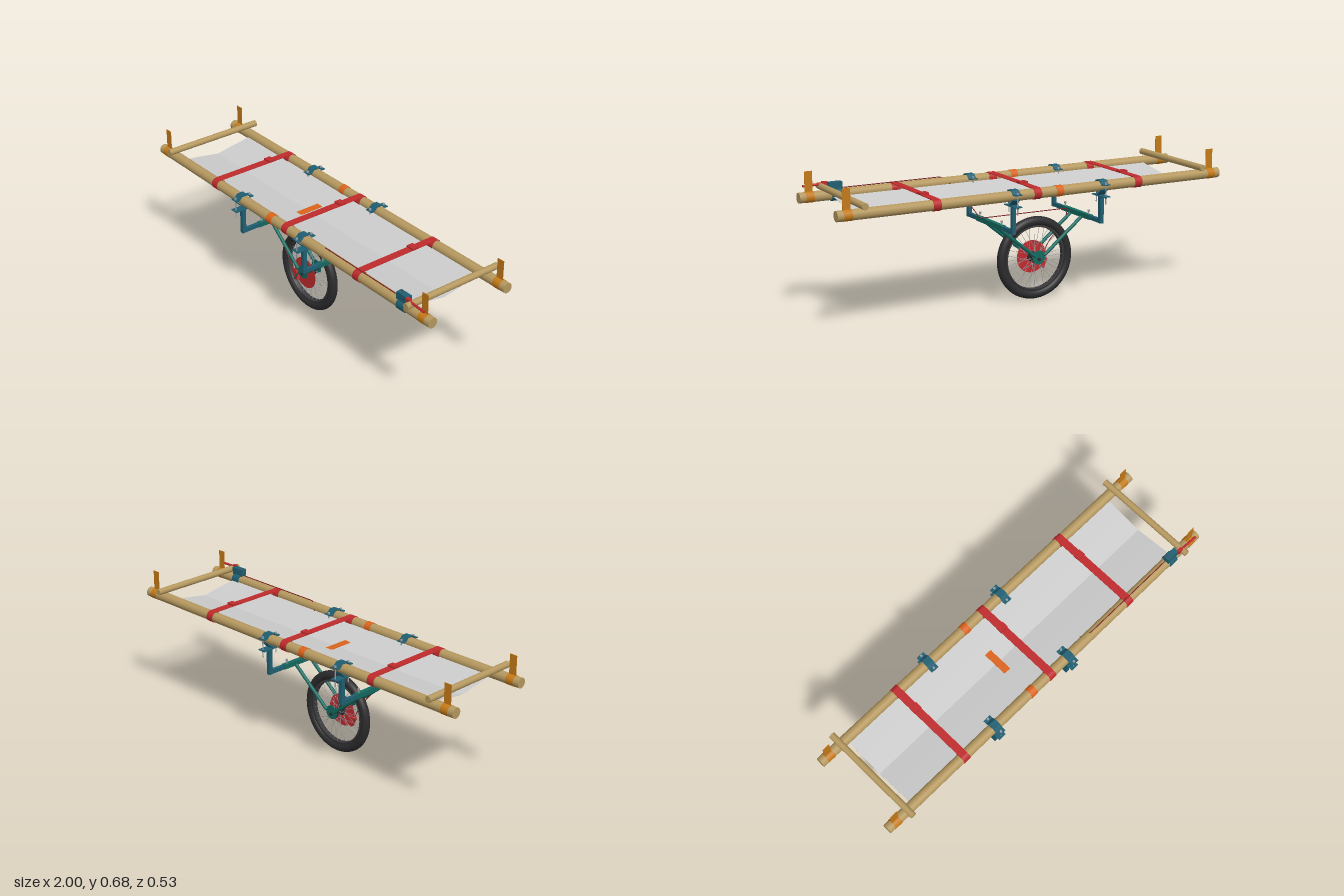
import * as THREE from 'three';

const mat = (color, side = THREE.FrontSide) => new THREE.MeshStandardMaterial({ color, side });
const WOOD = mat(0xb5985f), RED = mat(0xbf2a2c), ORANGE = mat(0xdb641c), AMBER = mat(0xc47a18);
const BLUE = mat(0x1f5f72), GREEN = mat(0x14695f), STEEL = mat(0x9a9ca4), BLACK = mat(0x2b2b2d);
const CANVAS = mat(0xcccccc, THREE.DoubleSide), CABLE = mat(0x7a1f24), DARK = mat(0x3a3a3c);
const V = (x, y, z) => new THREE.Vector3(x, y, z);
const POLE_Y = 0.567, POLE_Z = 0.215, POLE_R = 0.0245;
const WHEEL = V(-0.1, 0.203, 0);
const FRAME_X = [-0.335, 0.135];

function add(parent, name, geo, material, x = 0, y = 0, z = 0) {
  const m = new THREE.Mesh(geo, material);
  m.name = name;
  m.position.set(x, y, z);
  parent.add(m);
  return m;
}
const box = (p, name, m, w, h, d, x, y, z) => add(p, name, new THREE.BoxGeometry(w, h, d), m, x, y, z);

// Cylinder between two points
function rod(p, name, m, a, b, r, seg = 16) {
  const dir = b.clone().sub(a), mid = a.clone().add(b).multiplyScalar(0.5);
  const mesh = add(p, name, new THREE.CylinderGeometry(r, r, dir.length(), seg), m, mid.x, mid.y, mid.z);
  mesh.quaternion.setFromUnitVectors(V(0, 1, 0), dir.normalize());
  return mesh;
}

// Sleeve wrapped round a pole
const band = (p, name, m, x, z, width, r) =>
  rod(p, name, m, V(x - width / 2, POLE_Y, z), V(x + width / 2, POLE_Y, z), r, 28);

// Flat strip following a [z, y] profile, extruded along x
function strip(p, name, m, profile, x, width, t) {
  const shape = new THREE.Shape();
  profile.forEach(([z, y], i) => (i ? shape.lineTo(-z, y) : shape.moveTo(-z, y)));
  [...profile].reverse().forEach(([z, y]) => shape.lineTo(-z, y + t));
  shape.closePath();
  const geo = new THREE.ExtrudeGeometry(shape, { depth: width, bevelEnabled: false });
  geo.translate(0, 0, -width / 2).rotateY(Math.PI / 2);
  return add(p, name, geo, m, x, 0, 0);
}

function buildBed(root) {
  const bed = new THREE.Group();
  bed.name = 'stretcherBed';
  root.add(bed);
  for (const s of [1, -1]) {
    const z = s * POLE_Z;
    rod(bed, 'carryingPole', WOOD, V(-1, POLE_Y, z), V(1, POLE_Y, z), POLE_R, 32);
    rod(bed, 'crossPole', WOOD, V(s * 0.882, 0.606, -0.262), V(s * 0.882, 0.606, 0.262), 0.0155, 24);
    // Upright end loops
    for (const x of [-0.95, 0.95]) {
      band(bed, 'endLoopBand', AMBER, x, z, 0.04, 0.0255);
      box(bed, 'endLoop', AMBER, 0.038, 0.1, 0.002, x, 0.636, z);
    }
    for (const x of [-0.53, 0.018, 0.527]) band(bed, 'strapBand', RED, x, z, 0.038, 0.027);
    band(bed, 'footStrapBand', ORANGE, -0.1, z, 0.036, 0.0265);
  }
  // Sagging canvas
  strip(bed, 'canvas', CANVAS, [[0.206, 0.563], [0.1, 0.547], [0, 0.53], [-0.1, 0.547], [-0.206, 0.563]],
    -0.002, 1.686, 0.0012);
  // Straps and buckles
  for (const x of [-0.53, 0.018, 0.527]) {
    box(bed, 'strap', RED, 0.038, 0.003, 0.44, x, 0.5925, 0);
    box(bed, 'strapBuckle', RED, 0.042, 0.01, 0.034, x, 0.597, -0.09);
  }
  box(bed, 'lowerStrap', ORANGE, 0.036, 0.002, 0.42, -0.1, 0.541, 0);
  box(bed, 'lowerStrapBuckle', ORANGE, 0.04, 0.009, 0.03, -0.1, 0.537, -0.07);
}

// Clamp that bolts one pole to an upright
function buildClamp(root, x, s) {
  const c = new THREE.Group();
  c.name = 'poleClamp';
  root.add(c);
  const z = s * POLE_Z;
  box(c, 'clampPlate', BLUE, 0.04, 0.004, 0.102, x, 0.521, z);
  strip(c, 'lowerSaddle', BLUE, [[z + 0.026, 0.549], [z, 0.524], [z - 0.026, 0.549]], x, 0.04, 0.006);
  strip(c, 'upperSaddle', BLUE, [[z + 0.05, 0.575], [z + 0.032, 0.575], [z + 0.016, 0.592], [z - 0.016, 0.592],
    [z - 0.032, 0.575], [z - 0.05, 0.575]], x, 0.04, 0.004);
  for (const d of [-0.041, 0.041]) {
    rod(c, 'clampBolt', STEEL, V(x, 0.485, z + d), V(x, 0.585, z + d), 0.003, 10);
    rod(c, 'boltHead', STEEL, V(x, 0.579, z + d), V(x, 0.588, z + d), 0.006, 6);
    rod(c, 'clampNut', BLUE, V(x, 0.513, z + d), V(x, 0.52, z + d), 0.006, 6);
  }
}

function buildFrame(root) {
  const f = new THREE.Group();
  f.name = 'wheelFrame';
  root.add(f);
  for (const x of FRAME_X) {
    box(f, 'innerCrossbar', BLUE, 0.018, 0.019, 0.45, x, 0.398, 0);
    box(f, 'outerCrossbar', GREEN, 0.022, 0.023, 0.256, x, 0.398, 0);
    for (const s of [1, -1]) {
      box(f, 'upright', BLUE, 0.019, 0.134, 0.02, x, 0.455, s * POLE_Z);
      rod(f, 'lockBolt', STEEL, V(x, 0.405, s * 0.106), V(x, 0.424, s * 0.106), 0.003, 10);
      rod(f, 'lockBoltHead', STEEL, V(x, 0.422, s * 0.106), V(x, 0.431, s * 0.106), 0.006, 6);
      // Fork leg towards the axle
      const k = Math.sign(x - WHEEL.x);
      rod(f, 'forkLeg', GREEN, V(x, 0.392, s * 0.05), V(WHEEL.x + k * 0.025, 0.222, s * 0.05), 0.0085, 16);
      buildClamp(f, x, s);
    }
  }
  for (const s of [1, -1]) {
    rod(f, 'dropoutPlate', GREEN, V(WHEEL.x, 0.212, s * 0.04), V(WHEEL.x, 0.212, s * 0.044), 0.034, 24);
  }
}

function buildWheel(root) {
  const w = new THREE.Group();
  w.name = 'wheel';
  w.position.copy(WHEEL);
  root.add(w);
  add(w, 'tyre', new THREE.TorusGeometry(0.1785, 0.0225, 20, 72), BLACK);
  // Rim from a closed lathe section
  const section = [[0.15, -0.011], [0.16, -0.014], [0.16, 0.014], [0.15, 0.011], [0.15, -0.011]];
  const rim = new THREE.LatheGeometry(section.map(([r, y]) => new THREE.Vector2(r, y)), 72);
  add(w, 'rim', rim.rotateX(Math.PI / 2), DARK);
  rod(w, 'hub', BLACK, V(0, 0, -0.034), V(0, 0, 0.034), 0.014, 24);
  rod(w, 'axle', BLACK, V(0, 0, -0.049), V(0, 0, 0.049), 0.006, 16);
  for (const s of [1, -1]) {
    rod(w, 'hubFlange', BLACK, V(0, 0, s * 0.02), V(0, 0, s * 0.027), 0.025, 28);
    rod(w, 'axleNut', BLACK, V(0, 0, s * 0.042), V(0, 0, s * 0.049), 0.009, 6);
    // Spokes, crossed in pairs
    for (let i = 0; i < 18; i++) {
      const a = ((i + (s > 0 ? 0 : 0.5)) / 18) * Math.PI * 2, b = a + (i % 2 ? 0.45 : -0.45);
      rod(w, 'spoke', STEEL, V(Math.cos(b) * 0.023, Math.sin(b) * 0.023, s * 0.022),
        V(Math.cos(a) * 0.152, Math.sin(a) * 0.152, 0), 0.001, 5);
    }
  }
  rod(w, 'brakeDisc', RED, V(0, 0, 0.027), V(0, 0, 0.0295), 0.079, 48);
  // Brake caliper beside the disc
  const caliper = box(w, 'brakeCaliper', RED, 0.03, 0.052, 0.019, -0.062, -0.036, 0.032);
  caliper.rotation.z = 0.4;
  rod(w, 'caliperArm', GREEN, V(-0.068, -0.062, 0.042), V(-0.02, 0.01, 0.042), 0.004, 8);
}

function buildBrake(root) {
  const b = new THREE.Group();
  b.name = 'handBrake';
  root.add(b);
  const x = 0.822;
  band(b, 'leverCollar', BLUE, x, POLE_Z, 0.046, 0.029);
  box(b, 'leverMount', BLUE, 0.066, 0.036, 0.03, x, 0.607, POLE_Z + 0.003);
  box(b, 'leverPivot', RED, 0.024, 0.024, 0.016, 0.866, 0.616, 0.232);
  rod(b, 'lever', RED, V(0.86, 0.618, 0.232), V(0.97, 0.614, 0.236), 0.006, 12);
  const loop = add(b, 'cableLoop', new THREE.TorusGeometry(0.011, 0.0015, 8, 20, Math.PI), CABLE, 0.8, 0.616, POLE_Z);
  loop.rotation.y = Math.PI / 2;
  // Cable along the pole, down to the frame and on to the caliper
  const pts = [V(0.8, 0.595, 0.215), V(0.29, 0.595, 0.215), V(0.222, 0.54, 0.172), V(0.165, 0.415, 0.046),
    V(-0.31, 0.413, 0.046), V(-0.305, 0.375, 0.05), V(-0.2, 0.25, 0.048), V(-0.168, 0.185, 0.046)];
  const path = new THREE.CurvePath();
  for (let i = 1; i < pts.length; i++) path.add(new THREE.LineCurve3(pts[i - 1], pts[i]));
  add(b, 'brakeCable', new THREE.TubeGeometry(path, 160, 0.0022, 8), CABLE);
}

export function createModel() {
  const root = new THREE.Group();
  root.name = 'wheeledStretcher';
  buildBed(root);
  buildFrame(root);
  buildWheel(root);
  buildBrake(root);
  return root;
}
